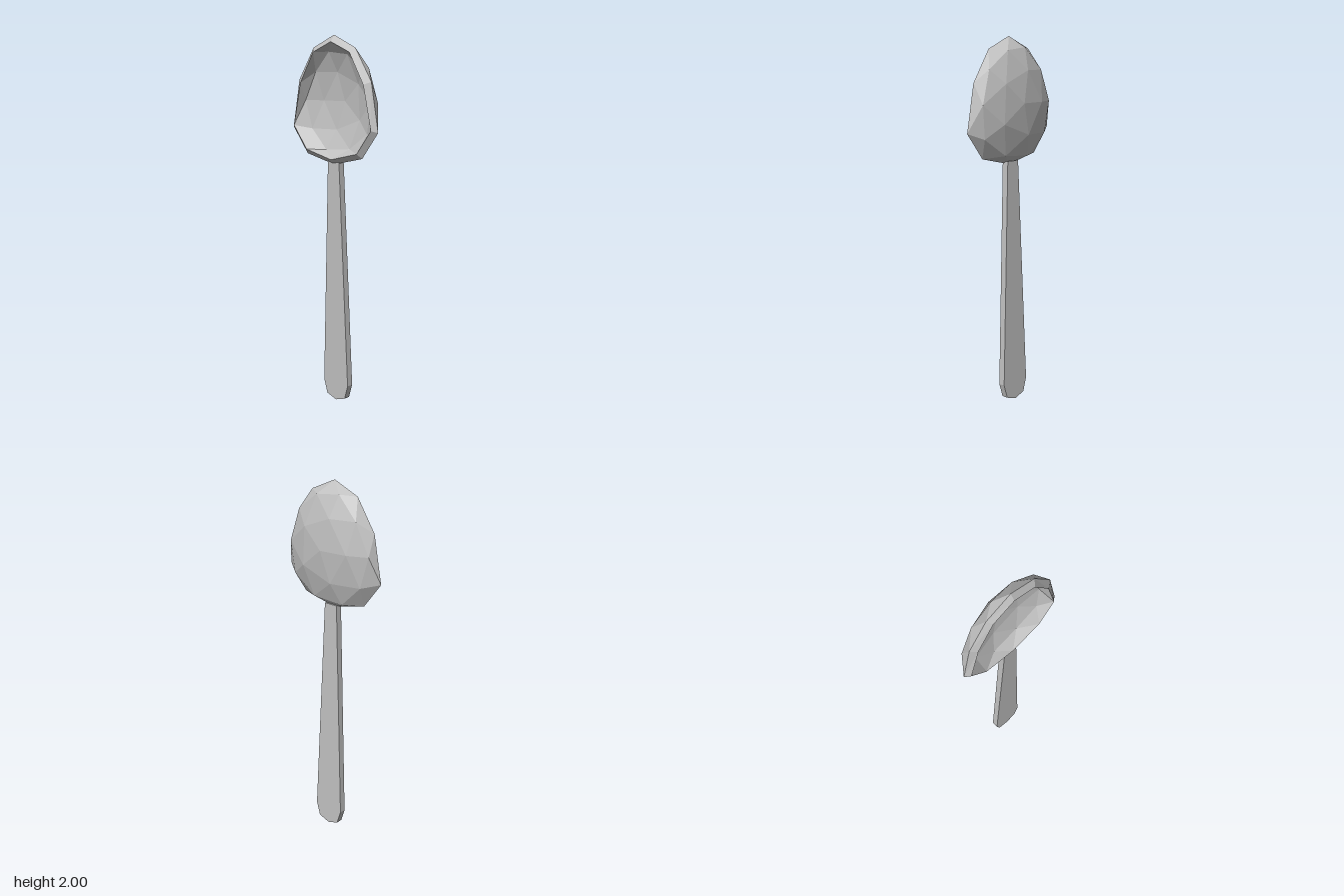
import * as THREE from 'three';

const metal = new THREE.MeshStandardMaterial({ color: 0xc0c0c0, flatShading: true });
metal.name = 'grey metal';

// Half outlines of the bowl from top to bottom, as [x, y]
const OUTER = [[0, 2], [0.15, 1.935], [0.26, 1.765], [0.308, 1.51], [0.2, 1.37], [0, 1.325]];
const INNER = [[0, 1.965], [0.13, 1.912], [0.227, 1.75], [0.28, 1.52], [0.183, 1.395], [0, 1.352]];

// Mirrors a half outline into a ten-point ring, counter-clockwise from the top
function outlineRing(half, z) {
  return Array.from({ length: 10 }, (_, k) => {
    const [x, y] = half[k <= 5 ? k : 10 - k];
    return [k <= 5 ? -x : x, y, z];
  });
}

// Egg-shaped ring point: wider towards the bottom
function eggPoint(degrees, radius, scale, z) {
  const a = THREE.MathUtils.degToRad(degrees);
  const c = Math.cos(a) * radius, s = Math.sin(a) * radius;
  return [c * (0.297 - 0.045 * s) * scale, 1.655 + 0.338 * s * scale, z];
}

// Faceted dome of 10, 10, 5 and 1 points below a rim ring, counter-clockwise from the front
function domeTriangles(rim, scale, base, depth) {
  const mid = Array.from({ length: 10 }, (_, k) => k % 2
    ? eggPoint(72 + 36 * k, 0.894, scale, base - 0.447 * depth)
    : eggPoint(72 + 36 * k, 0.85, scale, base - 0.526 * depth));
  const low = Array.from({ length: 5 }, (_, j) => eggPoint(108 + 72 * j, 0.526, scale, base - 0.85 * depth));
  const apex = [0, 1.655, base - depth];
  const tris = [];
  for (let k = 0; k < 10; k++) {
    const n = (k + 1) % 10;
    tris.push([rim[k], rim[n], mid[n]], [mid[k], rim[k], mid[n]]);
  }
  for (let j = 0; j < 5; j++) {
    const i = 1 + 2 * j, next = mid[(i + 1) % 10], f = low[j], g = low[(j + 1) % 5];
    tris.push([mid[i], next, f], [mid[i - 1], mid[i], f], [f, next, g], [f, g, apex]);
  }
  return tris;
}

function meshFrom(name, tris) {
  const geometry = new THREE.BufferGeometry();
  geometry.setAttribute('position', new THREE.Float32BufferAttribute(tris.flat(2), 3));
  geometry.computeVertexNormals();
  const mesh = new THREE.Mesh(geometry, metal);
  mesh.name = name;
  return mesh;
}

function createBowl() {
  const bowl = new THREE.Group();
  bowl.name = 'bowl';
  const outer = outlineRing(OUTER, 0.043);
  const inner = outlineRing(INNER, 0.068);

  // Convex back, concave inside and the bevelled lip joining them
  const back = domeTriangles(outer, 1, 0.043, 0.115).map(([a, b, c]) => [a, c, b]);
  const inside = domeTriangles(inner, 0.9, 0.064, 0.105);
  const lip = [];
  for (let k = 0; k < 10; k++) {
    const n = (k + 1) % 10;
    lip.push([outer[k], outer[n], inner[k]], [outer[n], inner[n], inner[k]]);
  }
  bowl.add(meshFrom('bowlBack', back), meshFrom('bowlInside', inside), meshFrom('bowlLip', lip));
  return bowl;
}

function createHandle() {
  // Tapered bar with a blunt, faceted end
  const shape = new THREE.Shape([
    [0, 0], [0.066, 0.022], [0.09, 0.1], [0.04, 1.345],
    [-0.04, 1.345], [-0.09, 0.1], [-0.066, 0.022],
  ].map(([x, y]) => new THREE.Vector2(x, y)));
  const geometry = new THREE.ExtrudeGeometry(shape, { depth: 0.037, bevelEnabled: false });

  // Lean forwards towards the bowl
  const p = geometry.attributes.position;
  for (let i = 0; i < p.count; i++) p.setZ(i, p.getZ(i) - 0.006 + 0.0135 * p.getY(i));
  geometry.computeVertexNormals();
  const handle = new THREE.Mesh(geometry, metal);
  handle.name = 'handle';
  return handle;
}

export function createModel() {
  const model = new THREE.Group();
  model.name = 'spoon';
  model.add(createBowl(), createHandle());
  return model;
}
